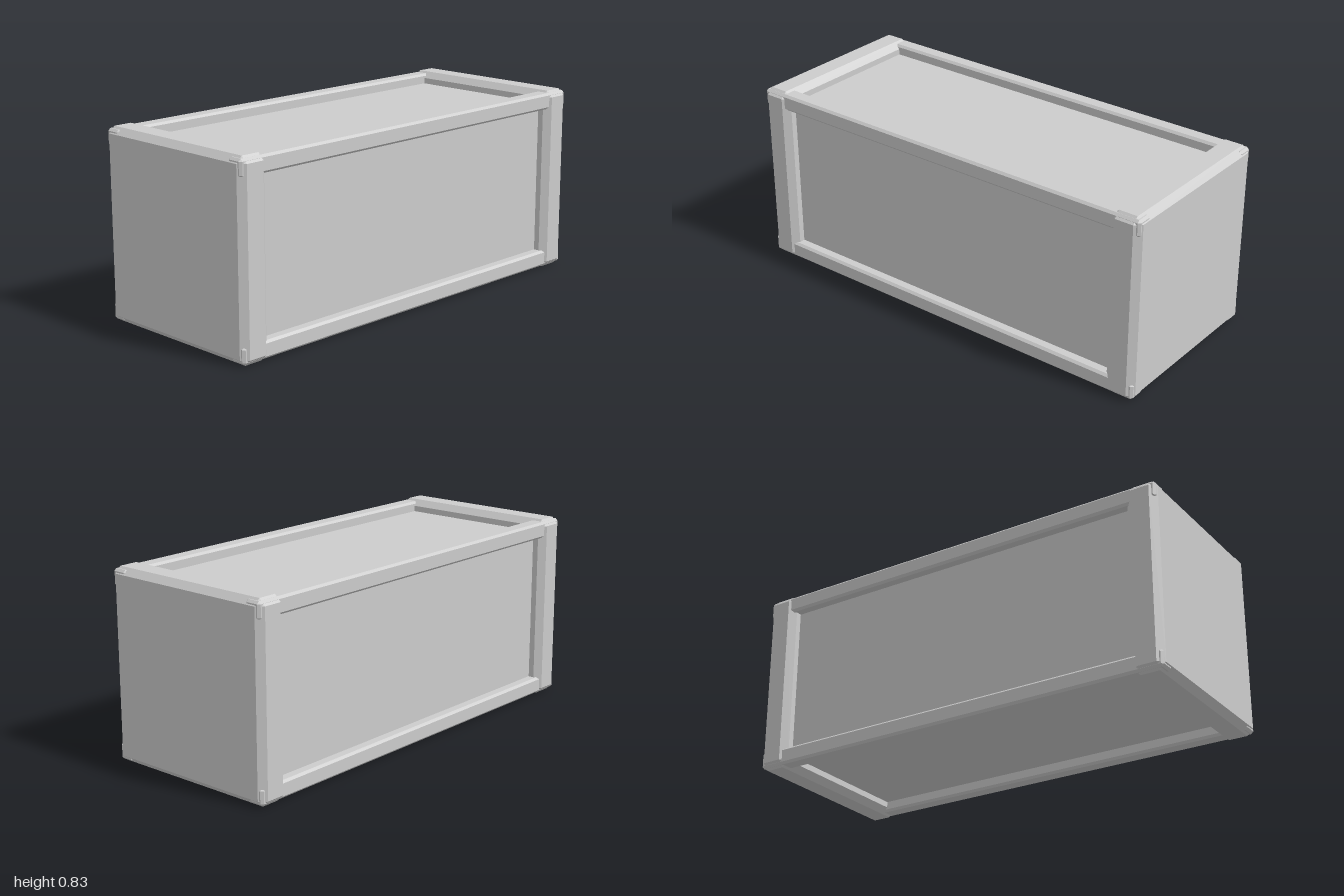
import * as THREE from 'three';
import { ConvexGeometry } from 'three/addons/geometries/ConvexGeometry.js';

const HALF = 0.4175; // half width and half height of the crate

// Box with every edge cut at 45 degrees, given half sizes and the cut
function chamferedBox(hx, hy, hz, c) {
  const points = [];
  for (const sx of [-1, 1]) for (const sy of [-1, 1]) for (const sz of [-1, 1]) {
    points.push(
      new THREE.Vector3(sx * hx, sy * (hy - c), sz * (hz - c)),
      new THREE.Vector3(sx * (hx - c), sy * hy, sz * (hz - c)),
      new THREE.Vector3(sx * (hx - c), sy * (hy - c), sz * hz)
    );
  }
  return new ConvexGeometry(points);
}

export function createModel() {
  const model = new THREE.Group();
  model.name = 'crate';
  const grey = new THREE.MeshStandardMaterial({ color: 0xcccccc });
  grey.name = 'light grey';

  const add = (name, geometry, x, y, z) => {
    const mesh = new THREE.Mesh(geometry, grey);
    mesh.name = name;
    mesh.position.set(x, y, z);
    model.add(mesh);
  };

  // Recessed side, top and bottom panels
  add('panelBody', new THREE.BoxGeometry(0.726, 0.726, 1.8), 0, HALF, 0);

  // Solid end frames with wide bevels
  const endFrame = chamferedBox(HALF, HALF, 0.07, 0.028);
  add('frontFrame', endFrame, 0, HALF, 0.93);
  add('backFrame', endFrame, 0, HALF, -0.93);

  // Four long corner rails whose ends poke through the frame bevels
  const rail = chamferedBox(0.037, 0.037, 0.996, 0.01);
  for (const sx of [-1, 1]) for (const sy of [-1, 1]) {
    add(`${sy > 0 ? 'top' : 'bottom'}${sx > 0 ? 'Left' : 'Right'}Rail`, rail,
      sx * 0.372, HALF + sy * 0.372, 0);
  }
  return model;
}
